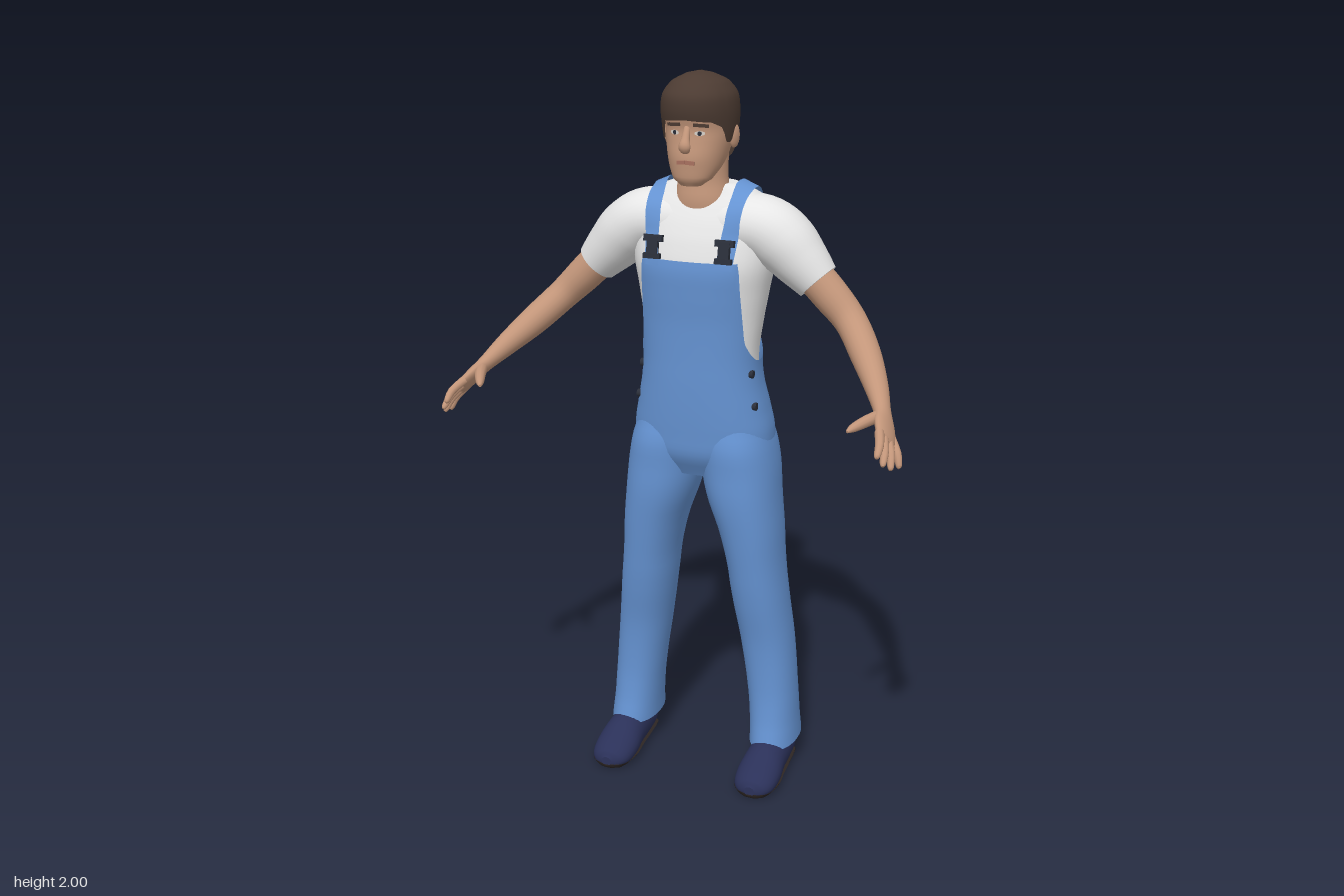
import * as THREE from 'three';

const mat = (name, color, side = THREE.FrontSide) => {
  const m = new THREE.MeshStandardMaterial({ color, side });
  m.name = name;
  return m;
};
const V = (x, y, z) => new THREE.Vector3(x, y, z);
const TAU = Math.PI * 2;

// Smooth interpolation between rows of numbers; k is a fractional row index
function sample(rows, k) {
  const n = rows.length - 1, i = Math.min(Math.floor(k), n - 1), f = k - i;
  const r = d => rows[Math.max(0, Math.min(n, i + d))];
  return rows[0].map((_, c) => {
    const p = r(-1)[c], a = r(0)[c], b = r(1)[c], q = r(2)[c];
    const m0 = (b - p) / 2, m1 = (q - a) / 2, f2 = f * f, f3 = f2 * f;
    return (2 * f3 - 3 * f2 + 1) * a + (f3 - 2 * f2 + f) * m0 + (3 * f2 - 2 * f3) * b + (f3 - f2) * m1;
  });
}
// Cross-section [y, centre x, half width, front z, back z] at height y
function at(rows, y) {
  let i = 0;
  while (i < rows.length - 2 && rows[i + 1][0] < y) i++;
  const f = (y - rows[i][0]) / (rows[i + 1][0] - rows[i][0]);
  const [, cx, rx, zf, zb] = sample(rows, i + Math.max(0, Math.min(1, f)));
  return { cx, rx, zc: (zf + zb) / 2, rz: (zf - zb) / 2 };
}
// Piecewise linear lookup in [[x, value], ...]
function table(t, x) {
  for (let i = 1; i < t.length; i++)
    if (x <= t[i][0]) return t[i - 1][1] + (t[i][1] - t[i - 1][1]) * Math.max(0, (x - t[i - 1][0]) / (t[i][0] - t[i - 1][0]));
  return t[t.length - 1][1];
}
const pw = (v, p) => Math.sign(v) * Math.abs(v) ** (2 / p);
function ring(rows, th, y, p = 2, off = 0) {
  const s = at(rows, y);
  return V(s.cx + (s.rx + off) * pw(Math.cos(th), p), y, s.zc + (s.rz + off) * pw(Math.sin(th), p));
}
const frontZ = (rows, x, y, p = 2) => {
  const s = at(rows, y);
  return s.zc + s.rz * Math.max(0, 1 - Math.abs(x / s.rx) ** p) ** (1 / p);
};

// Closed-around surface from fn(angle, t); mirror -1 flips it to the other side
function surface(name, material, nu, nv, fn, { mirror = 1, caps = true } = {}) {
  const pos = [], idx = [];
  const put = p => { pos.push(p.x * mirror, p.y, p.z); return pos.length / 3 - 1; };
  const tri = (a, b, c) => mirror > 0 ? idx.push(a, b, c) : idx.push(a, c, b);
  const rings = [];
  for (let j = 0; j <= nv; j++) rings.push(Array.from({ length: nu }, (_, i) => fn(i / nu * TAU, j / nv)));
  rings.forEach(r => r.forEach(put));
  for (let j = 0; j < nv; j++) for (let i = 0; i < nu; i++) {
    const k = (i + 1) % nu, a = j * nu + i, d = j * nu + k;
    tri(a, a + nu, d + nu);
    tri(a, d + nu, d);
  }
  if (caps) [rings[0], rings[nv]].forEach((r, top) => {
    const c = put(r.reduce((s, p) => s.add(p), V(0, 0, 0)).divideScalar(nu));
    const b = r.map(put);
    b.forEach((v, i) => top ? tri(c, b[(i + 1) % nu], v) : tri(c, v, b[(i + 1) % nu]));
  });
  const g = new THREE.BufferGeometry();
  g.setAttribute('position', new THREE.Float32BufferAttribute(pos, 3));
  g.setIndex(idx);
  g.computeVertexNormals();
  const m = new THREE.Mesh(g, material);
  m.name = name;
  return m;
}
// Stack of horizontal sections from y0 to y1
const stack = (name, m, rows, y0, y1, p, nv = 28, opt) =>
  surface(name, m, 40, nv, (th, t) => ring(rows, th, y0 + (y1 - y0) * t, p), opt);
// Limb along rows [x, y, z, thickness, width]; width lies along ref
function limb(name, m, rows, ref, mirror = 1, nu = 16, nv = 24, shape = p => p) {
  return surface(name, m, nu, nv, (th, t) => {
    const n = rows.length - 1, k = t * n, s = sample(rows, k);
    const T = V(...sample(rows, Math.min(n, k + 0.05))).sub(V(...sample(rows, Math.max(0, k - 0.05)))).normalize();
    const U = ref.clone().addScaledVector(T, -ref.dot(T)).normalize(), W = T.clone().cross(U);
    return shape(V(...s).addScaledVector(W, s[3] * Math.cos(th)).addScaledVector(U, s[4] * Math.sin(th)));
  }, { mirror });
}

const TORSO = [
  [0.90, 0, 0.12, -0.05, -0.21], [0.97, 0, 0.18, -0.015, -0.25], [1.03, 0, 0.188, -0.008, -0.254],
  [1.10, 0, 0.176, -0.004, -0.245], [1.18, 0, 0.16, -0.002, -0.226], [1.25, 0, 0.156, -0.002, -0.22],
  [1.35, 0, 0.167, 0, -0.235], [1.43, 0, 0.18, 0.006, -0.25], [1.50, 0, 0.193, 0.008, -0.257],
  [1.57, 0, 0.198, -0.01, -0.256], [1.62, 0, 0.195, -0.032, -0.245], [1.66, 0, 0.18, -0.055, -0.225],
  [1.69, 0, 0.14, -0.075, -0.2], [1.71, 0, 0.088, -0.082, -0.182]];
const TP = 2.3;
const LEG = [
  [0.085, 0.219, 0.069, -0.04, -0.262], [0.15, 0.215, 0.068, -0.055, -0.25], [0.25, 0.207, 0.07, -0.065, -0.24],
  [0.4, 0.19, 0.075, -0.06, -0.24], [0.55, 0.17, 0.078, -0.035, -0.235], [0.65, 0.158, 0.079, -0.022, -0.238],
  [0.75, 0.143, 0.088, -0.01, -0.245], [0.85, 0.121, 0.101, 0, -0.255], [0.93, 0.109, 0.106, 0, -0.265],
  [1.0, 0.1, 0.102, 0, -0.264], [1.08, 0.085, 0.095, -0.02, -0.24]];
const HEAD = [
  [1.715, 0, 0.028, 0, -0.05], [1.73, 0, 0.05, 0.011, -0.08], [1.76, 0, 0.067, 0.015, -0.13],
  [1.79, 0, 0.077, 0.017, -0.165], [1.83, 0, 0.085, 0.011, -0.18], [1.86, 0, 0.088, 0.008, -0.185],
  [1.9, 0, 0.088, 0.016, -0.188], [1.94, 0, 0.08, 0.008, -0.18], [1.97, 0, 0.05, -0.03, -0.14]];
const NECK = [[1.63, 0, 0.085, -0.05, -0.18], [1.67, 0, 0.078, -0.048, -0.175], [1.72, 0, 0.068, -0.055, -0.166], [1.8, 0, 0.068, -0.05, -0.17]];
const HAIR = [
  [1.74, 0, 0.062, -0.02, -0.168], [1.78, 0, 0.08, 0, -0.182], [1.82, 0, 0.092, 0.012, -0.195],
  [1.87, 0, 0.098, 0.022, -0.205], [1.91, 0, 0.099, 0.03, -0.207], [1.945, 0, 0.093, 0.026, -0.2],
  [1.975, 0, 0.07, 0, -0.17], [1.993, 0, 0.035, -0.04, -0.125], [2.0, 0, 0.004, -0.08, -0.09]];

export function createModel() {
  const model = new THREE.Group();
  const skin = mat('skin', 0xc3967a), shirt = mat('white cotton', 0xe6e6e6);
  const denim = mat('blue denim', 0x6593d2, THREE.DoubleSide), hair = mat('brown hair', 0x4c3b32, THREE.DoubleSide);
  const shoe = mat('navy shoe', 0x2b3159), sole = mat('dark sole', 0x2c2523), dark = mat('dark metal', 0x2b2f3a);
  const white = mat('eye white', 0xd9d2ca), lip = mat('lip', 0xa8705f);
  const add = (...m) => model.add(...m);
  const place = (name, geo, m, x, y, z, rx = 0, ry = 0, rz = 0) => {
    const mesh = new THREE.Mesh(geo, m);
    mesh.name = name;
    mesh.position.set(x, y, z);
    mesh.rotation.set(rx, ry, rz);
    add(mesh);
    return mesh;
  };

  // Shirt body and sleeves
  const cloth = [stack('shirtBody', shirt, TORSO, 1.16, 1.71, TP, 36)];
  const sleeve = [
    [0.06, 1.6, -0.135, 0.085, 0.1], [0.16, 1.597, -0.132, 0.085, 0.098], [0.22, 1.563, -0.13, 0.085, 0.092],
    [0.27, 1.515, -0.128, 0.074, 0.078], [0.318, 1.465, -0.126, 0.059, 0.061]];
  for (const s of [1, -1]) cloth.push(limb('sleeve', shirt, sleeve, V(0, 0, 1), s, 28));
  add(...cloth);

  // Overalls: the upper edge follows the bib, dips under the arms and rises at the back
  const bib = [[0, 1.52], [0.62, 1.52], [0.68, 1.45], [0.74, 1.39], [0.83, 1.3], [0.97, 1.25], [1, 1.24]];
  const back = [[0, 1.475], [0.1, 1.465], [0.2, 1.435], [0.35, 1.39], [0.6, 1.33], [0.82, 1.28], [1, 1.24]];
  add(surface('overallsBody', denim, 144, 36, (th, t) => {
    const top = table(Math.sin(th) > 0 ? bib : back, Math.abs(Math.cos(th)));
    return ring(TORSO, th, 0.91 + (top - 0.91) * t, TP, 0.01);
  }, { caps: false }));
  for (const s of [1, -1]) add(stack('trouserLeg', denim, LEG, 0.085, 1.08, 2.2, 40, { mirror: s }));

  // Straps laid over the shirt by casting rays at it, with clasps and side buttons
  const strapX = [[10, 0.1], [60, 0.112], [95, 0.12], [130, 0.106], [160, 0.066], [188, 0.02], [198, 0.012]];
  const ray = new THREE.Raycaster();
  for (const s of [1, -1]) {
    const pts = [], idx = [], n = 40;
    for (let i = 0; i <= n; i++) for (const w of [-0.021, 0.021]) {
      const deg = 10 + 188 * i / n, a = deg * Math.PI / 180, x = s * (table(strapX, deg) + w);
      const out = V(0, Math.sin(a), Math.cos(a)), c = V(x, 1.48, -0.12);
      ray.set(c.clone().addScaledVector(out, 1), out.clone().negate());
      const hit = ray.intersectObjects(cloth)[0];
      pts.push((hit ? hit.point : c.addScaledVector(out, 0.15)).clone().addScaledVector(out, 0.013));
    }
    for (let i = 0; i < n; i++) {
      const a = 2 * i;
      idx.push(...(s > 0 ? [a, a + 1, a + 3, a, a + 3, a + 2] : [a, a + 3, a + 1, a, a + 2, a + 3]));
    }
    const g = new THREE.BufferGeometry().setFromPoints(pts);
    g.setIndex(idx);
    g.computeVertexNormals();
    place('strap', g, denim, 0, 0, 0);

    const z = y => frontZ(TORSO, 0.1, y, TP) + 0.016;
    place('claspTop', new THREE.BoxGeometry(0.052, 0.018, 0.014), dark, s * 0.1, 1.572, z(1.572), -0.25);
    place('claspBody', new THREE.BoxGeometry(0.03, 0.05, 0.014), dark, s * 0.1, 1.55, z(1.55), -0.2);
    place('claspBase', new THREE.BoxGeometry(0.046, 0.014, 0.014), dark, s * 0.1, 1.527, z(1.527), -0.1);
    for (const y of [1.21, 1.12]) {
      const c = at(TORSO, y), x = c.rx * (1 - Math.abs((-0.065 - c.zc) / c.rz) ** TP) ** (1 / TP) + 0.011;
      place('sideButton', new THREE.CylinderGeometry(0.011, 0.011, 0.012, 14), dark, s * x, y, -0.065, 0, 0, Math.PI / 2);
    }
  }

  // Arms, fingers and thumbs
  const spread = V(0.28, -0.47, -0.84);
  const arm = [
    [0.27, 1.515, -0.128, 0.05, 0.05], [0.35, 1.435, -0.126, 0.049, 0.05], [0.415, 1.37, -0.11, 0.043, 0.046],
    [0.475, 1.305, -0.045, 0.04, 0.043], [0.525, 1.25, 0.03, 0.031, 0.034], [0.56, 1.207, 0.095, 0.021, 0.027],
    [0.578, 1.182, 0.135, 0.018, 0.039], [0.592, 1.162, 0.172, 0.014, 0.038], [0.597, 1.154, 0.187, 0.007, 0.028]];
  const tips = [[0.595, 1.14, 0.262], [0.609, 1.118, 0.254], [0.622, 1.1, 0.225], [0.632, 1.09, 0.178]];
  for (const s of [1, -1]) {
    add(limb('arm', skin, arm, spread, s, 20, 40));
    tips.forEach((tip, i) => {
      const b = V(0.588, 1.167, 0.162).addScaledVector(spread, -0.03 + 0.02 * i), e = V(...tip);
      const m = b.clone().lerp(e, 0.55).add(V(0.004, 0.004, 0.002));
      add(limb('finger', skin, [[...b, 0.012, 0.012], [...m, 0.011, 0.011], [...b.clone().lerp(e, 0.92), 0.008, 0.008], [...e, 0.003, 0.003]], spread, s, 10, 9));
    });
    add(limb('thumb', skin, [[0.562, 1.2, 0.115, 0.016, 0.016], [0.54, 1.197, 0.165, 0.015, 0.015],
      [0.518, 1.19, 0.208, 0.011, 0.011], [0.508, 1.185, 0.226, 0.004, 0.004]], spread, s, 10, 10));
  }

  // Shoes with flat soles
  const foot = [
    [0.222, 0.05, -0.216, 0.025, 0.03], [0.222, 0.05, -0.2, 0.045, 0.048], [0.222, 0.052, -0.14, 0.052, 0.06],
    [0.222, 0.05, -0.06, 0.057, 0.06], [0.222, 0.037, 0.0, 0.063, 0.05], [0.222, 0.026, 0.05, 0.058, 0.04],
    [0.222, 0.024, 0.078, 0.042, 0.03], [0.222, 0.024, 0.09, 0.015, 0.014]];
  for (const s of [1, -1]) {
    add(limb('shoe', shoe, foot, V(0, 1, 0), s, 24, 28, p => p.setY(Math.max(p.y, 0.014))));
    add(limb('sole', sole, foot, V(0, 1, 0), s, 24, 28, p => p.setY(THREE.MathUtils.clamp(p.y, 0, 0.016))));
  }

  // Head, neck and hair with a fringe, sideburns and a longer back
  add(stack('neck', skin, NECK, 1.63, 1.8, 2, 12), stack('head', skin, HEAD, 1.715, 1.97, 2.1, 32));
  const hairline = [[0, 1.886], [40, 1.88], [58, 1.865], [68, 1.825], [80, 1.825], [90, 1.858], [105, 1.845], [120, 1.785], [150, 1.762], [180, 1.757]];
  add(surface('hair', hair, 64, 28, (th, t) => {
    const deg = Math.abs(((th * 180 / Math.PI - 90 + 540) % 360) - 180);
    const lo = table(hairline, deg);
    return ring(HAIR, th, lo + (2 - lo) * Math.sin(t * Math.PI / 2), 2.1);
  }, { caps: false }));

  // Face
  add(limb('nose', skin, [[0, 1.868, 0.004, 0.008, 0.006], [0, 1.84, 0.016, 0.011, 0.01],
    [0, 1.818, 0.024, 0.016, 0.013], [0, 1.807, 0.014, 0.011, 0.009]], V(0, 0, 1), 1, 14, 12));
  const fz = (x, y) => frontZ(HEAD, x, y, 2.1);
  for (const s of [1, -1]) {
    place('ear', new THREE.SphereGeometry(1, 14, 10), skin, s * 0.092, 1.838, -0.092, 0, s * -0.3).scale.set(0.01, 0.032, 0.02);
    place('eye', new THREE.CircleGeometry(1, 18), white, s * 0.034, 1.852, fz(0.034, 1.852) + 0.003, 0, s * 0.38).scale.set(0.014, 0.006, 1);
    place('iris', new THREE.CircleGeometry(0.0058, 14), dark, s * 0.034, 1.852, fz(0.034, 1.852) + 0.0045, 0, s * 0.38);
    place('eyebrow', new THREE.BoxGeometry(0.04, 0.008, 0.008), hair, s * 0.037, 1.872, fz(0.037, 1.872) + 0.001, 0, s * 0.4, s * -0.08);
    place('lips', new THREE.BoxGeometry(0.024, 0.01, 0.008), lip, s * 0.0115, 1.778, fz(0.0115, 1.778), 0, s * 0.16, s * -0.08);
  }
  return model;
}
